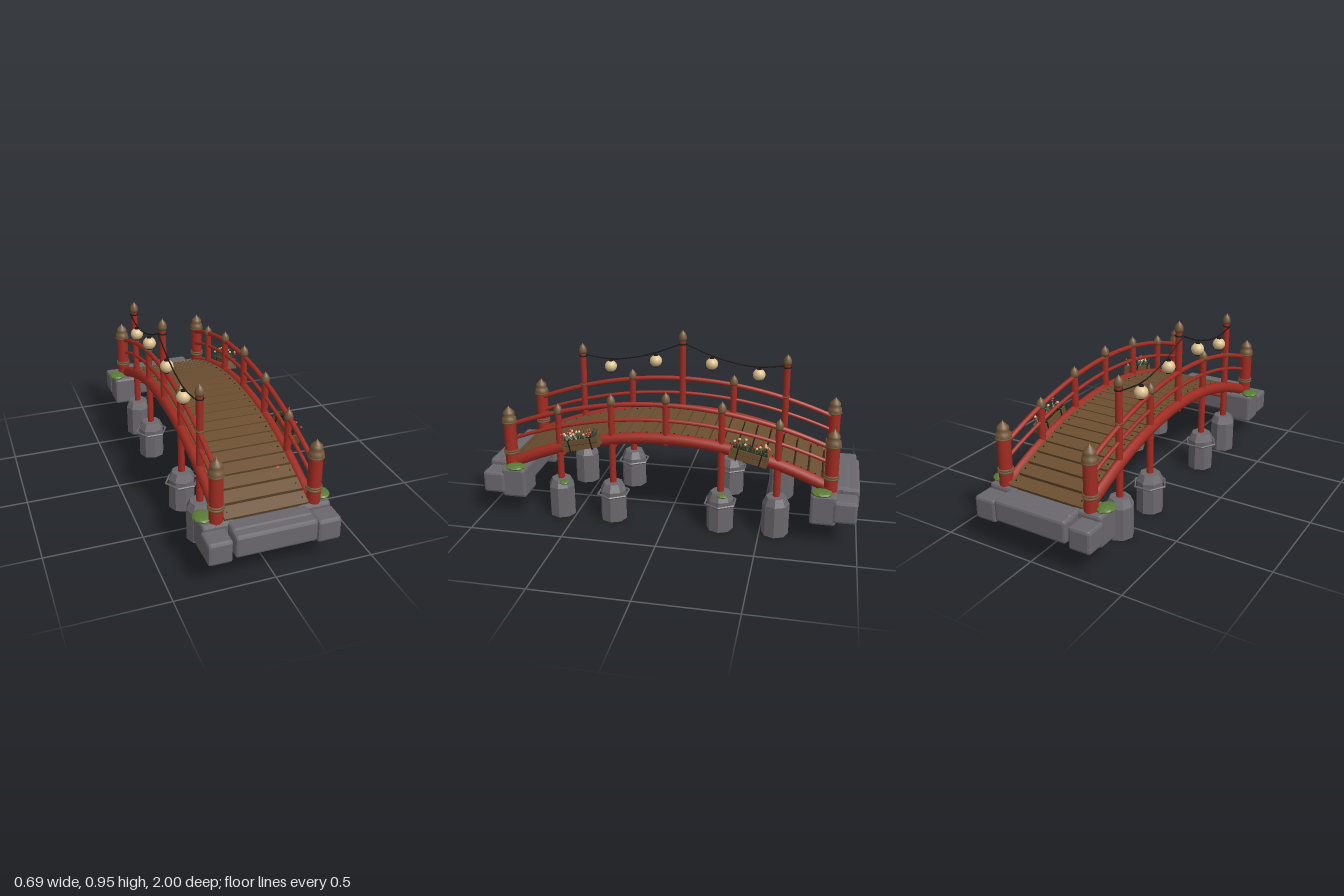
import * as THREE from 'three';
import { RoundedBoxGeometry } from 'three/addons/geometries/RoundedBoxGeometry.js';

const V = (x, y, z) => new THREE.Vector3(x, y, z);
const mat = (name, color, flatShading = false) => {
  const m = new THREE.MeshStandardMaterial({ color, flatShading });
  m.name = name;
  return m;
};

// Heights of the arched parts along z
const arch = (top, drop, span) => (z) => top - drop * (z / span) ** 2;
const beamY = arch(0.48, 0.2, 0.85);
const deckY = arch(0.497, 0.212, 0.88);
const topRailY = arch(0.665, 0.17, 0.85);
const midRailY = arch(0.58, 0.165, 0.85);
const tilt = (z) => Math.atan(2 * 0.212 * z / 0.88 ** 2);

export function createModel() {
  const model = new THREE.Group();
  model.name = 'archedGardenBridge';
  const red = mat('redLacquer', 0xa02c22);
  const wood = mat('plankWood', 0x6b4e30);
  const bronze = mat('capBrown', 0x735638);
  const dark = mat('darkMetal', 0x1c1715);
  const stone = mat('stone', 0x6b686d, true);
  const moss = mat('moss', 0x587a36, true);
  const paper = mat('lanternPaper', 0xdcc08e);
  const petal = mat('redPetal', 0xb0281e, true);
  const leaf = mat('leafGreen', 0x34452a, true);

  const add = (name, geo, material, x = 0, y = 0, z = 0, parent = model) => {
    const m = new THREE.Mesh(geo, material);
    m.name = name;
    m.position.set(x, y, z);
    parent.add(m);
    return m;
  };
  const lathe = (pts, n = 14) => new THREE.LatheGeometry(pts.map(p => new THREE.Vector2(...p)), n);
  const ring = (name, r, t, m, x, y, z) => {
    const o = add(name, new THREE.TorusGeometry(r, t, 6, 18), m, x, y, z);
    o.rotation.x = Math.PI / 2;
    return o;
  };
  const block = (name, x0, x1, y0, y1, z0, z1) =>
    add(name, new RoundedBoxGeometry(x1 - x0, y1 - y0, z1 - z0, 1, 0.014), stone,
      (x0 + x1) / 2, (y0 + y1) / 2, (z0 + z1) / 2);

  // Deck planks with dark underside and nails
  const count = 24, step = 1.76 / count;
  for (let i = 0; i < count; i++) {
    const z = -0.88 + (i + 0.5) * step;
    const g = new THREE.Group();
    g.name = 'deckPlank';
    g.position.set(0, deckY(z), z);
    g.rotation.x = tilt(z);
    model.add(g);
    add('plank', new THREE.BoxGeometry(0.42, 0.02, step - 0.006), wood, 0, -0.01, 0, g);
    add('deckUnderside', new THREE.BoxGeometry(0.41, 0.008, step + 0.006), dark, 0, -0.024, 0, g);
    for (const x of [-0.19, 0.19])
      add('nail', new THREE.CylinderGeometry(0.004, 0.004, 0.003, 6), dark, x, 0.001, 0, g);
  }

  // Fallen leaves
  for (const [x, z] of [[-0.145, -0.535], [0.165, -0.12], [-0.155, 0.345], [0.14, 0.67]]) {
    const l = add('fallenLeaf', new THREE.OctahedronGeometry(0.013), petal, x, deckY(z) + 0.004, z);
    l.scale.set(1, 0.25, 0.8);
    l.rotation.x = tilt(z);
  }

  // Curved beams and rails on both sides
  const arc = (f, end) => new THREE.CatmullRomCurve3(
    Array.from({ length: 17 }, (_, i) => -end + i * end / 8).map(z => V(0, f(z), z)));
  for (const s of [-1, 1]) {
    const beam = add('sideBeam', new THREE.TubeGeometry(arc(beamY, 0.86), 40, 0.031, 10), red, s * 0.23);
    beam.scale.x = 0.8;
    add('topRail', new THREE.TubeGeometry(arc(topRailY, 0.85), 40, 0.013, 8), red, s * 0.23);
    add('middleRail', new THREE.TubeGeometry(arc(midRailY, 0.85), 40, 0.01, 8), red, s * 0.23);
  }

  // Posts with acorn caps; the right side carries the taller lantern posts
  const capGeo = lathe([[0, -0.004], [0.021, -0.004], [0.023, 0.008], [0.021, 0.024], [0.014, 0.038], [0.005, 0.047], [0, 0.056]]);
  const post = (x, z, bottom, top) => {
    add('railPost', new THREE.CylinderGeometry(0.018, 0.018, top - bottom, 12), red, x, (top + bottom) / 2, z);
    add('postCap', capGeo, bronze, x, top, z);
  };
  for (const s of [-1, 1]) for (const z of [-0.58, -0.29, 0, 0.29, 0.58]) {
    const a = Math.abs(z);
    const tall = s < 0 && a !== 0.29;
    const top = tall ? (a ? 0.785 : 0.89) : (a === 0 ? 0.68 : a < 0.5 ? 0.65 : 0.58);
    post(s * 0.228, z, a ? 0.19 : 0.45, top);
    if (tall) {
      const bandY = a ? 0.765 : 0.865;
      ring('lanternHook', 0.019, 0.004, dark, -0.228, bandY, z);
      if (a) ring('ropeBand', 0.019, 0.004, bronze, -0.228, 0.598, z);
    }
  }

  // Cross ties under the deck
  for (const z of [-0.58, -0.29, 0.29, 0.58]) {
    const tie = add('crossTie', new THREE.CylinderGeometry(0.013, 0.013, 0.456, 8), red, 0, beamY(z) - 0.055, z);
    tie.rotation.z = Math.PI / 2;
  }

  // Stone footings, with iron rings on the inner ones
  const footing = lathe([[0, 0], [0.071, 0], [0.071, 0.17], [0.052, 0.21], [0, 0.212]], 8);
  for (const s of [-1, 1]) for (const z of [-0.58, -0.29, 0.29, 0.58]) {
    add('stoneFooting', footing, stone, s * 0.228, 0, z);
    if (Math.abs(z) < 0.5) {
      const r = add('footingRing', new THREE.TorusGeometry(0.087, 0.006, 5, 6), stone, s * 0.228, 0.15, z);
      r.rotation.x = Math.PI / 2;
    }
  }
  const mossPatch = (x, y, z, rx, ry, rz) =>
    add('mossPatch', new THREE.IcosahedronGeometry(1, 1), moss, x, y, z).scale.set(rx, ry, rz);
  mossPatch(0.272, 0.203, -0.305, 0.025, 0.011, 0.03);
  mossPatch(0.272, 0.203, 0.55, 0.025, 0.011, 0.03);

  // End posts and stone abutments
  const endCap = lathe([[0, 0.515], [0.036, 0.515], [0.039, 0.526], [0.036, 0.545], [0.027, 0.552],
    [0.031, 0.562], [0.028, 0.576], [0.015, 0.59], [0.005, 0.6], [0, 0.61]], 16);
  for (const e of [-1, 1]) {
    const zBlock = (name, x0, x1, y0, y1, a, b) =>
      block(name, x0, x1, y0, y1, Math.min(e * a, e * b), Math.max(e * a, e * b));
    zBlock('abutmentCore', -0.2, 0.2, 0.15, 0.27, 0.77, 0.9);
    zBlock('upperStep', -0.2, 0.2, 0.16, 0.275, 0.86, 0.95);
    zBlock('lowerStep', -0.203, 0.203, 0.155, 0.27, 0.9, 1);
    for (const s of [-1, 1]) {
      const sBlock = (name, x0, x1, ...r) => zBlock(name, Math.min(s * x0, s * x1), Math.max(s * x0, s * x1), ...r);
      sBlock('abutmentBlock', 0.158, 0.322, 0.11, 0.276, 0.755, 0.888);
      sBlock('cornerStone', 0.21, 0.33, 0.132, 0.25, 0.87, 0.99);
      const x = s * 0.245, z = e * 0.85;
      add('endPost', new THREE.CylinderGeometry(0.034, 0.034, 0.25, 16), red, x, 0.395, z);
      add('endPostCap', endCap, bronze, x, 0, z);
      for (const y of [0.345, 0.358, 0.518]) ring('ropeBand', 0.035, 0.006, bronze, x, y, z);
      mossPatch(s * 0.3, 0.283, e * 0.81, 0.046, 0.016, 0.055);
    }
  }

  // Lantern strings
  for (const e of [-1, 1]) {
    const path = [[0.865, 0], [0.8, 0.16], [0.763, 0.3], [0.75, 0.425], [0.767, 0.58]].map(([y, z]) => V(-0.252, y, e * z));
    add('lanternString', new THREE.TubeGeometry(new THREE.CatmullRomCurve3(path), 32, 0.0035, 5), dark);
    for (const [z, y, hang] of [[0.16, 0.752, 0.8], [0.425, 0.705, 0.75]]) {
      const x = -0.256;
      add('paperLantern', new THREE.SphereGeometry(0.035, 16, 12), paper, x, y, e * z).scale.y = 0.95;
      for (const d of [-0.033, 0.033])
        add('lanternCollar', new THREE.CylinderGeometry(0.013, 0.013, 0.007, 10), dark, x, y + d, e * z);
      add('lanternCord', new THREE.CylinderGeometry(0.002, 0.002, hang - y - 0.03, 5), dark, x, (hang + y + 0.03) / 2, e * z);
    }
  }

  // Flower boxes hung outside the left rail
  let seed = 7;
  const rnd = () => (seed = (seed * 16807) % 2147483647) / 2147483647;
  for (const e of [-1, 1]) {
    const box = new THREE.Group();
    box.name = 'flowerBox';
    box.position.set(0.287, 0.447, e * 0.438);
    box.rotation.x = tilt(e * 0.438);
    model.add(box);
    for (const s of [-1, 1]) {
      for (const y of [-0.015, 0.015])
        add('boxSlat', new THREE.BoxGeometry(0.008, 0.026, 0.2), wood, s * 0.027, y, 0, box);
      add('boxEnd', new THREE.BoxGeometry(0.054, 0.054, 0.008), wood, 0, 0, s * 0.094, box);
      add('boxBracket', new THREE.BoxGeometry(0.07, 0.066, 0.006), dark, 0, -0.002, s * 0.06, box);
    }
    add('boxSoil', new THREE.BoxGeometry(0.05, 0.04, 0.186), dark, 0, 0, 0, box);
    for (let i = 0; i < 34; i++) {
      const x = (rnd() - 0.5) * 0.05, z = (rnd() - 0.5) * 0.18;
      const l = add('leafBlade', new THREE.ConeGeometry(0.008, 0.05, 4), leaf, x * 1.2, 0.04, z, box);
      l.rotation.set((rnd() - 0.5) * 1.2, 0, -x * 22);
    }
    for (let i = 0; i < 20; i++)
      add('flower', new THREE.IcosahedronGeometry(0.0075), i % 2 ? petal : paper,
        (rnd() - 0.45) * 0.075, 0.05 + rnd() * 0.022, (rnd() - 0.5) * 0.18, box);
  }
  return model;
}
